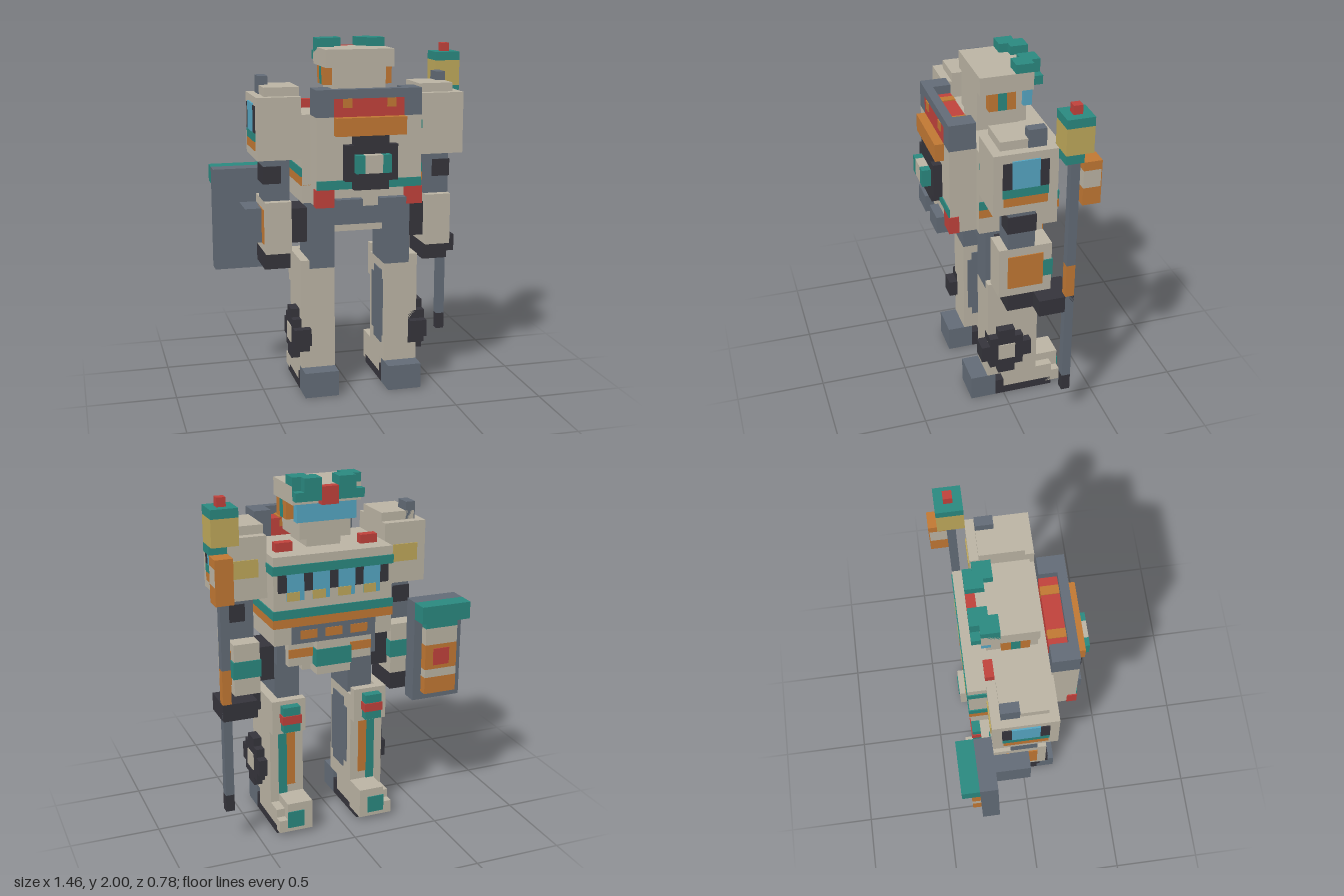
import * as THREE from 'three';

const U = 2 / 41; // one block
const E = 0.12;   // thickness of painted plates, in blocks

function mat(name, hex) {
  const m = new THREE.MeshStandardMaterial({ color: hex });
  m.name = name;
  return m;
}

export function createModel() {
  const beige = mat('beige', 0xbab3a3), slate = mat('slate', 0x626b76);
  const dark = mat('charcoal', 0x35343b), teal = mat('teal', 0x2a887f);
  const red = mat('red', 0xbf413b), orange = mat('orange', 0xc07733);
  const blue = mat('skyBlue', 0x55a5c2), gold = mat('gold', 0xbda75a);

  const root = new THREE.Group();
  root.name = 'robot';
  let target = root;
  const part = (name) => {
    target = new THREE.Group();
    target.name = name;
    root.add(target);
  };
  // Box from ranges given in blocks
  const box = (name, m, x0, x1, y0, y1, z0, z1) => {
    const g = new THREE.BoxGeometry((x1 - x0) * U, (y1 - y0) * U, (z1 - z0) * U);
    const mesh = new THREE.Mesh(g, m);
    mesh.name = name;
    mesh.position.set((x0 + x1) * U / 2, (y0 + y1) * U / 2, (z0 + z1) * U / 2);
    target.add(mesh);
  };
  // Box plus its mirror about the body's middle, x = 1
  const pair = (name, m, x0, x1, y0, y1, z0, z1) => {
    box(name + 'Left', m, x0, x1, y0, y1, z0, z1);
    box(name + 'Right', m, 2 - x1, 2 - x0, y0, y1, z0, z1);
  };

  part('feet');
  pair('heel', slate, 4, 8, 0, 3, 1, 4);
  pair('sole', dark, 4, 8, 0, 1, -6, 1);
  pair('soleBack', dark, 4, 8, 1, 2, 0, 1);
  pair('foot', beige, 4, 8, 1, 3, -6, 0);
  pair('toe', beige, 4, 8, 0.5, 2, -7, -4);
  pair('toeCap', beige, 4, 7, 2, 4, -7, -4);
  pair('toePaint', teal, 5, 7, 1, 3, -7 - E, -7);

  part('legs');
  pair('shin', beige, 4, 8, 3, 15, -4, 2);
  pair('shinRim', beige, 7, 8, 15, 16, -4, 2);
  pair('innerPanel', slate, 4 - E, 4, 5, 14, -2, 1);
  pair('innerPanelMiddle', slate, 4 - E, 4, 6, 13, -3, 1.5);
  pair('shinStripeOrange', orange, 5, 6, 5, 12, -4 - E, -4);
  pair('shinStripeTeal', teal, 6, 7, 4, 12, -4 - E, -4);
  pair('thigh', slate, 4, 7, 15, 20, -3, 2);
  pair('kneePlate', beige, 4, 8, 12, 16, -5, -4);
  pair('kneePad', teal, 5, 7, 12.5, 15.5, -6, -5);
  pair('kneeStripe', red, 5 - E, 7 + E, 13.5, 14.5, -6 - E, -5);
  pair('hipDisc', dark, 7, 9, 18, 22, -3, 1);
  // Stepped ankle wheel
  for (let i = 1; i <= 3; i++) pair('ankleWheel' + i, dark, 7, 9, 3 + i, 11 - i, -i, i);
  pair('ankleHub', beige, 9, 9 + E, 6, 8, -1, 1);

  part('pelvis');
  box('hips', slate, -5, 7, 20, 23, -4, 2);
  box('hipUnderside', beige, -2, 4, 19, 20, -4, 1);
  pair('skirt', beige, 2, 6, 20, 23, -5, -4);
  pair('skirtStripe', orange, 3, 6, 21, 22, -5 - E, -5);
  box('buckle', beige, -1, 3, 19, 23, -6, -4);
  box('bucklePaint', teal, -1 - E, 3 + E, 20, 22, -6 - E, -4.5);

  part('chest');
  box('trunk', beige, -6, 8, 23, 33, -6, 3);
  box('topBand', teal, -6 - E, 8 + E, 31, 32, -6 - E, 3);
  box('lowerBand', teal, -6 - E, 8 + E, 26, 27, -6 - E, 3);
  box('bottomBand', orange, -6 - E, 8 + E, 25, 26, -6 - E, 3);
  box('belly', slate, -4, 6, 23, 25, -6 - E, -6);
  for (let i = 0; i < 3; i++) {
    box('bellyLamp' + i, orange, -3 + i * 3, -1 + i * 3, 23.5, 24.5, -6 - 1.5 * E, -6);
  }
  // Row of windows with dark pillars
  for (let i = 0; i < 4; i++) {
    const x = -4.5 + i * 3;
    box('window' + i, blue, x, x + 2, 28, 31, -6 - E, -6);
    box('pillar' + i, dark, x - 1, x, 29, 31, -6 - E, -6);
    box('windowGlow' + i, gold, x + 0.5, x + 2, 28, 29, -6 - 1.5 * E, -6);
  }
  box('pillarEnd', dark, 6.5, 7.5, 29, 31, -6 - E, -6);
  pair('collarBar', red, 5, 7, 33, 34, -4, -3);

  part('backpack');
  box('pack', beige, -5, 7, 23, 33, 3, 6);
  pair('packPost', slate, 5, 7, 33, 36, 3, 6);
  box('packRail', slate, -3, 5, 35, 36, 5, 6);
  box('packCore', red, -3, 5, 33, 35, 3, 6);
  pair('packLamp', orange, 3, 4, 34, 35 + E, 3, 5);
  pair('packLampFace', orange, 3, 4, 34, 35, 6, 6 + E);
  box('packShelf', orange, -3, 5, 31, 33, 6, 7);
  box('packWheelWide', dark, -2, 4, 26, 30, 6, 7);
  box('packWheelTall', dark, -1, 3, 25, 31, 6, 7);
  pair('packHubSide', teal, 2, 3, 27, 29, 7, 8);
  box('packHub', beige, 0, 2, 27, 29, 7, 8);
  pair('packStripe', teal, 3, 7, 25, 26, 6, 6 + E);
  pair('packLight', red, 5, 7 + E, 23, 25, 5, 6 + E);
  pair('packFlap', slate, 2, 5, 22, 24, 5, 7);

  part('arms');
  pair('shoulder', beige, 8, 13, 28, 35, -4, 3);
  pair('shoulderTop', beige, 8, 12, 35, 36, -3, 2);
  pair('shoulderKnob', slate, 11, 12 + E, 35, 37, -3, -1);
  pair('shoulderFrame', dark, 13, 13 + E, 31, 34, -3, 2);
  pair('shoulderWindow', blue, 13, 13 + 1.5 * E, 31, 34.2, -2, 1);
  pair('shoulderStripeTeal', teal, 13, 13 + E, 30, 31, -3, 2);
  pair('shoulderStripeOrange', orange, 13, 13 + E, 29, 30, -2.9, 1.9);
  pair('shoulderLamp', gold, 9, 12, 30.5, 32.5, -4 - E, -4);
  pair('upperArm', slate, 9, 12, 23, 28, -2, 1);
  pair('elbow', dark, 10, 12 + E, 25, 27, -2 - E, 1 + E);
  pair('forearm', beige, 9, 12, 17, 23, -4, 2);
  pair('forearmPanel', orange, 12, 12 + E, 18, 22, -3, 1);
  pair('cuff', teal, 9 - E, 12 + E, 19, 21, -4 - E, -3);
  pair('hand', dark, 9, 12, 15, 17, -4, 1);
  box('leftFingers', dark, 10, 12, 15, 17, -6, -4);
  box('leftGrip', dark, 12, 14, 15, 17, -6, -2);

  part('staff');
  box('staffTip', dark, 13, 14, 4, 6, -6, -5);
  box('staffLower', slate, 13, 14, 6, 17, -6, -5);
  box('staffGrip', orange, 13, 14, 17, 21, -6, -5);
  box('staffUpper', slate, 13, 14, 21, 34, -6, -5);
  box('lanternBase', teal, 13, 15, 34, 35, -6, -4);
  box('lantern', gold, 12, 15, 35, 38, -7, -4);
  box('lanternCap', teal, 12, 15, 38, 39, -7, -4);
  box('lanternTip', red, 13, 14, 39, 40, -6, -5);
  box('flagTop', orange, 13, 15, 33, 34, -8, -6);
  box('flagMiddle', beige, 13, 15, 31, 33, -7.9, -6);
  box('flagFace', orange, 13, 15, 31, 33, -8, -7.9);
  box('flagBottom', orange, 13, 15, 29, 31, -8, -6);

  part('shield');
  box('shieldMount', slate, -12, -10, 18, 22, -4, 0);
  box('shieldSlab', slate, -15, -9, 14, 26, -6, -4);
  box('shieldCap', teal, -15, -9, 24, 26, -8, -6);
  // Striped front, bottom to top
  [[orange, 15, 17], [beige, 17, 18], [orange, 18, 21], [beige, 21, 23], [teal, 23, 24]]
    .forEach(([m, y0, y1], i) => box('shieldStripe' + i, m, -14, -10, y0, y1, -7, -6));
  box('shieldEmblem', red, -13, -11, 18.5, 20.5, -7 - E, -7);

  part('head');
  box('neck', beige, -1, 3, 33, 36, -3, 2);
  box('face', beige, -2, 4, 34, 38, -3.5, 2);
  box('helmet', beige, -3, 5, 38, 40, -4, 2);
  box('visor', blue, -2.5, 4.5, 36, 38, -4, -3);
  pair('earBack', orange, 4, 5, 36, 38, 0, 1);
  pair('earMiddle', teal, 4, 5, 36, 38, -1, 0);
  pair('earFront', orange, 4, 5, 36, 38, -2, -1);
  pair('crest', teal, 3, 5, 39, 41, -4, -2);
  pair('crestFront', teal, 2, 4, 39, 41, -5, -3);
  pair('brim', teal, 2, 5, 38.5, 39.5, -5, -4);
  box('crestGem', red, 0, 2, 38, 40, -5, -4);

  return root;
}
